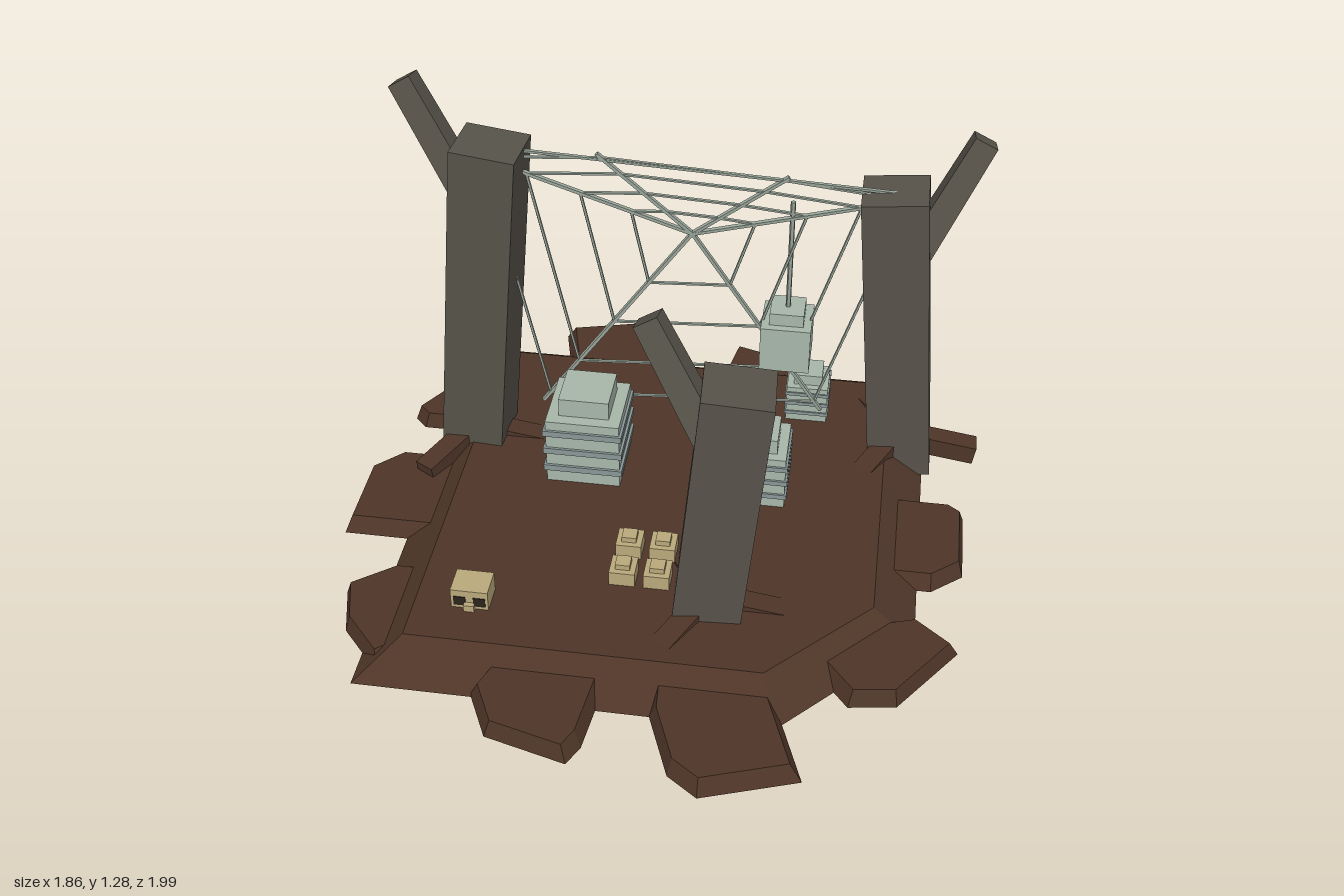
import * as THREE from 'three';

const mat = (name, color, extra = {}) => {
  const m = new THREE.MeshStandardMaterial({ color, ...extra });
  m.name = name;
  return m;
};

export function createModel() {
  const soil = mat('soil brown', 0x4e3528);
  const bark = mat('bark grey', 0x57534a);
  const silk = mat('silk pale green', 0xa9b8ab);
  const band = mat('band grey', 0x8a9797);
  const thread = mat('thread grey green', 0x97a398);
  const bone = mat('bone tan', 0xbbaa7b);
  const dark = mat('socket dark', 0x2b241c);

  const root = new THREE.Group();
  root.name = 'webbedClearing';
  const add = (name, geo, material, parent = root) => {
    const m = new THREE.Mesh(geo, material);
    m.name = name;
    parent.add(m);
    return m;
  };
  const group = (name, x = 0, y = 0, z = 0) => {
    const g = new THREE.Group();
    g.name = name;
    g.position.set(x, y, z);
    root.add(g);
    return g;
  };
  const V = (x, y, z) => new THREE.Vector3(x, y, z);

  // Solid between two [x, z] outlines at heights y0 and y1
  function frustum(low, high, y0, y1) {
    const flat = low.map(([x, z]) => new THREE.Vector2(x, -z));
    if (THREE.ShapeUtils.area(flat) < 0) {
      low = [...low].reverse();
      high = [...high].reverse();
      flat.reverse();
    }
    const b = low.map(([x, z]) => [x, y0, z]);
    const t = high.map(([x, z]) => [x, y1, z]);
    const out = [];
    b.forEach((_, i) => {
      const j = (i + 1) % b.length;
      out.push(...b[i], ...b[j], ...t[j], ...b[i], ...t[j], ...t[i]);
    });
    for (const [i, j, k] of THREE.ShapeUtils.triangulateShape(flat, [])) {
      out.push(...t[i], ...t[j], ...t[k], ...b[i], ...b[k], ...b[j]);
    }
    const g = new THREE.BufferGeometry();
    g.setAttribute('position', new THREE.Float32BufferAttribute(out, 3));
    g.computeVertexNormals();
    return g;
  }

  // Rod from a to b; four sides make a square beam
  function rod(name, a, b, r0, r1, sides, material, parent) {
    const geo = new THREE.CylinderGeometry(r1, r0, a.distanceTo(b), sides).toNonIndexed();
    geo.rotateY(Math.PI / 4);
    geo.computeVertexNormals();
    const m = add(name, geo, material, parent);
    m.position.copy(a).add(b).multiplyScalar(0.5);
    m.quaternion.setFromUnitVectors(V(0, 1, 0), b.clone().sub(a).normalize());
    return m;
  }

  // Ground mound with one cut corner
  add('ground', frustum(
    [[-0.74, -0.82], [0.77, -0.82], [0.77, 0.36], [0.41, 0.74], [-0.74, 0.74]],
    [[-0.62, -0.7], [0.65, -0.7], [0.65, 0.33], [0.37, 0.62], [-0.62, 0.62]], 0.01, 0.097), soil);

  // Flat rocks round the rim
  const rocks = [
    [[-0.46, -0.93], [-0.2, -1], [-0.1, -0.94], [-0.06, -0.78], [-0.06, -0.66], [-0.39, -0.66]],
    [[0.125, -0.91], [0.38, -0.83], [0.39, -0.66], [0.08, -0.66]],
    [[0.63, -0.2], [0.86, -0.2], [0.9, -0.17], [0.9, 0.08], [0.81, 0.155], [0.63, 0.155]],
    [[0.78, 0.3], [0.89, 0.39], [0.73, 0.61], [0.6, 0.63], [0.51, 0.52], [0.6, 0.36]],
    [[0.07, 0.6], [0.39, 0.6], [0.5, 0.9], [0.24, 0.99], [0.155, 0.93], [0.08, 0.74]],
    [[-0.36, 0.6], [-0.05, 0.6], [-0.08, 0.87], [-0.11, 0.93], [-0.34, 0.87], [-0.41, 0.73]],
    [[-0.6, -0.2], [-0.84, -0.2], [-0.93, -0.11], [-0.93, 0.155], [-0.6, 0.155]],
    [[-0.62, 0.3], [-0.72, 0.3], [-0.85, 0.4], [-0.81, 0.55], [-0.69, 0.68], [-0.6, 0.6]],
    [[-0.73, -0.62], [-0.86, -0.41], [-0.82, -0.37], [-0.6, -0.37], [-0.6, -0.55]],
  ];
  for (const r of rocks) {
    const cx = r.reduce((s, p) => s + p[0], 0) / r.length;
    const cz = r.reduce((s, p) => s + p[1], 0) / r.length;
    const top = r.map(([x, z]) => [cx + (x - cx) * 0.87, cz + (z - cz) * 0.87]);
    add('rimRock', frustum(r, top, 0.01, 0.06), soil);
  }

  // Leaning trunks, each with a broken branch and three roots
  const trunks = [
    { name: 'leftTree', c: [-0.575, 0.565, -0.3], h: 1.115, lean: -0.09, turn: -0.07, base: [-0.625, -0.295],
      from: V(-0.56, 0.87, -0.3), to: V(-0.79, 1.255, -0.39), flip: 1 },
    { name: 'frontTree', c: [0.22, 0.43, 0.365], h: 0.845, lean: -0.09, turn: 0.06, base: [0.19, 0.365],
      from: V(0.19, 0.68, 0.37), to: V(0.01, 0.98, 0.28), flip: 1 },
    { name: 'rightTree', c: [0.655, 0.495, -0.445], h: 0.97, lean: 0.09, turn: 0, base: [0.69, -0.445],
      from: V(0.69, 0.78, -0.46), to: V(0.85, 1.11, -0.535), flip: 1 },
  ];
  for (const t of trunks) {
    const g = group(t.name);
    const geo = new THREE.BoxGeometry(0.19, t.h, 0.175);
    geo.rotateZ(t.lean).rotateY(t.turn).translate(...t.c);
    add('trunk', geo, bark, g);
    rod('brokenBranch', t.from, t.to, 0.058, 0.05, 4, bark, g);
    const [x, z] = t.base;
    for (let i = 0; i < 3; i++) {
      const geoRoot = new THREE.BoxGeometry(0.24, 0.06, 0.065);
      geoRoot.translate(0.12, 0, 0).rotateZ(-0.15).rotateY((i * Math.PI * 2) / 3).translate(x, 0.1, z);
      add('root', geoRoot, soil, g);
    }
  }

  // Web hung between the two rear trunks
  const web = group('web');
  const at = (x, y) => V(x, y, -0.31 - 0.125 * (x + 0.43));
  const hub = at(0.04, 0.83);
  const tips = [[-0.585, 1.09], [-0.23, 1.09], [0.31, 1.02], [0.68, 0.955], [0.44, 0.19], [-0.41, 0.215]]
    .map(([x, y]) => at(x, y));
  for (const tip of tips) rod('spoke', hub, tip, 0.008, 0.008, 5, thread, web);
  for (const f of [0.28, 0.51, 0.75, 0.95]) {
    tips.forEach((tip, i) => {
      const next = tips[(i + 1) % tips.length];
      rod('ringThread', hub.clone().lerp(tip, f), hub.clone().lerp(next, f), 0.005, 0.005, 5, thread, web);
    });
  }
  rod('bridgeThread', at(-0.585, 1.115), at(0.68, 0.965), 0.006, 0.006, 5, thread, web);

  // Wrapped cocoons: body, cap, small knot and bands
  function cocoon(x, y, z, w, h, cap, bands) {
    const g = group('cocoon', x, y, z);
    const box = (name, s, y0, y1, m) =>
      add(name, new THREE.BoxGeometry(s, y1 - y0, s), m, g).position.set(0, (y0 + y1) / 2, 0);
    box('body', w, 0, h, silk);
    box('cap', w * 0.68, h, h + cap, silk);
    for (let i = 0; i < bands; i++) {
      const yb = h * (0.24 + (0.58 * i) / (bands - 1));
      box('wrapBand', w * 1.07, yb - h * 0.045, yb + h * 0.045, band);
    }
  }
  cocoon(-0.245, 0.097, -0.185, 0.222, 0.223, 0.06, 3);
  cocoon(0.275, 0.097, -0.14, 0.178, 0.178, 0.048, 3);
  cocoon(0.395, 0.097, -0.54, 0.128, 0.125, 0.035, 3);
  cocoon(0.325, 0.38, -0.42, 0.15, 0.15, 0.04, 0);
  rod('hangingThread', V(0.325, 0.55, -0.42), V(0.325, 0.94, -0.405), 0.008, 0.008, 5, thread);

  // Egg cluster
  for (const x of [-0.058, 0.04]) {
    for (const z of [0.195, 0.31]) {
      const g = group('egg', x, 0.097, z);
      add('shell', new THREE.BoxGeometry(0.074, 0.045, 0.074), bone, g).position.y = 0.0225;
      add('crown', new THREE.BoxGeometry(0.042, 0.018, 0.042), bone, g).position.y = 0.053;
    }
  }

  // Skull with two sockets
  const skull = group('skull', -0.46, 0.097, 0.455);
  add('cranium', new THREE.BoxGeometry(0.106, 0.063, 0.085), bone, skull).position.y = 0.0315;
  add('snout', new THREE.BoxGeometry(0.03, 0.022, 0.02), bone, skull).position.set(0, 0.011, 0.047);
  for (const s of [-1, 1]) {
    add('eyeSocket', new THREE.BoxGeometry(0.034, 0.03, 0.006), dark, skull).position.set(s * 0.028, 0.026, 0.042);
  }
  return root;
}
